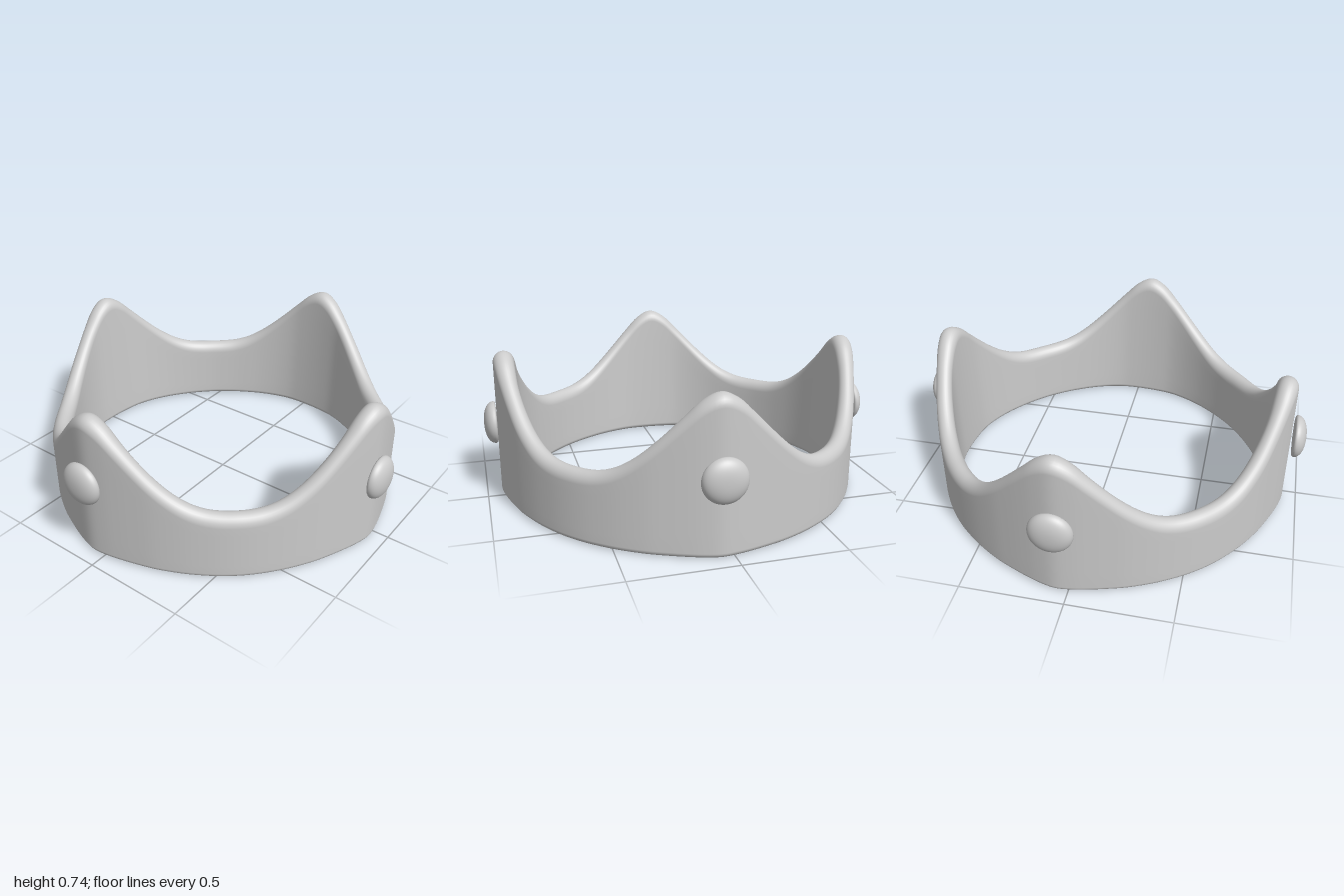
import * as THREE from 'three';

const material = new THREE.MeshStandardMaterial({ color: 0xcccccc, roughness: 0.6 });
const TWIST = -0.068; // the points sit slightly off the main axes

// Values every 5 degrees, from a point of the crown (0) to the middle of a dip (45)
const RIM = [0.735, 0.702, 0.63, 0.555, 0.485, 0.425, 0.38, 0.353, 0.342, 0.34];
const OUTER = [0.93, 0.921, 0.909, 0.9, 0.895, 0.89, 0.887, 0.885, 0.885, 0.885];
const INNER = [0.81, 0.811, 0.813, 0.81, 0.805, 0.8, 0.795, 0.792, 0.79, 0.79];

// Smooth lookup in a table that mirrors at both ends
function sample(table, degrees) {
  const at = (i) => table[i < 0 ? -i : i > 9 ? 18 - i : i];
  const i = Math.min(Math.floor(degrees / 5), 8);
  const t = degrees / 5 - i;
  const [a, b, c, d] = [at(i - 1), at(i), at(i + 1), at(i + 2)];
  return b + 0.5 * t * (c - a + t * (2 * a - 5 * b + 4 * c - d + t * (3 * (b - c) + d - a)));
}

// Cross-section of the band: rounded foot, two walls and a fully rounded rim
function section(inner, outer, top) {
  const points = [];
  const foot = 0.025;
  const rimHeight = 0.055;
  const lean = 0.04 * (top - 0.34);
  const arc = (cx, cy, rx, ry, from, to, n) => {
    for (let k = 0; k <= n; k++) {
      const a = from + ((to - from) * k) / n;
      points.push([cx + rx * Math.cos(a), cy + ry * Math.sin(a)]);
    }
  };
  const H = Math.PI / 2;
  arc(outer - foot, foot, foot, foot, -H, 0, 5);
  for (let k = 1; k < 6; k++) points.push([outer, foot + ((top - rimHeight - foot) * k) / 6]);
  const half = (outer - inner - lean) / 2;
  arc(outer - half, top - rimHeight, half, rimHeight, 0, Math.PI, 14);
  for (let k = 5; k > 0; k--) {
    points.push([inner + (lean * k) / 6, foot + ((top - rimHeight - foot) * k) / 6]);
  }
  arc(inner + foot, foot, foot, foot, Math.PI, 3 * H, 5);
  return points;
}

// Band swept once around, with four points
function makeBand() {
  const steps = 288;
  const positions = [];
  const indices = [];
  let n = 0;
  for (let i = 0; i < steps; i++) {
    const angle = (i / steps) * 360;
    const quarter = angle % 90;
    const d = Math.min(quarter, 90 - quarter);
    const ring = section(sample(INNER, d), sample(OUTER, d), sample(RIM, d));
    n = ring.length;
    const a = THREE.MathUtils.degToRad(angle) + TWIST;
    for (const [r, y] of ring) positions.push(r * Math.sin(a), y, r * Math.cos(a));
  }
  for (let i = 0; i < steps; i++) {
    for (let j = 0; j < n; j++) {
      const i2 = (i + 1) % steps;
      const j2 = (j + 1) % n;
      const [a, b, c, d] = [i * n + j, i2 * n + j, i2 * n + j2, i * n + j2];
      indices.push(a, b, c, a, c, d);
    }
  }
  const geometry = new THREE.BufferGeometry();
  geometry.setAttribute('position', new THREE.Float32BufferAttribute(positions, 3));
  geometry.setIndex(indices);
  geometry.computeVertexNormals();
  return geometry;
}

// Domed stud with a flat back, its axis turned to +z
function makeStud() {
  const profile = [[0, 0], [0.05, 0], [0.09, 0], [0.1, 0.002]].map((p) => new THREE.Vector2(...p));
  for (let k = 0; k <= 16; k++) {
    const a = (k / 16) * (Math.PI / 2);
    profile.push(new THREE.Vector2(0.105 * Math.cos(a) ** 0.9, 0.008 + 0.054 * Math.sin(a) ** 0.9));
  }
  profile[profile.length - 1].x = 0;
  return new THREE.LatheGeometry(profile, 40).rotateX(Math.PI / 2);
}

export function createModel() {
  const crown = new THREE.Group();
  crown.name = 'crown';

  const band = new THREE.Mesh(makeBand(), material);
  band.name = 'band';
  crown.add(band);

  // One stud under each point; the front one sits a little higher
  const studGeometry = makeStud();
  ['front', 'left', 'back', 'right'].forEach((side, k) => {
    const mount = new THREE.Group();
    mount.name = side + 'Stud';
    mount.rotation.y = (k * Math.PI) / 2;
    const stud = new THREE.Mesh(studGeometry, material);
    stud.name = side + 'StudDome';
    stud.position.set(-0.063, k === 0 ? 0.41 : 0.373, k % 2 ? 0.93 : 0.938);
    mount.add(stud);
    crown.add(mount);
  });

  return crown;
}
